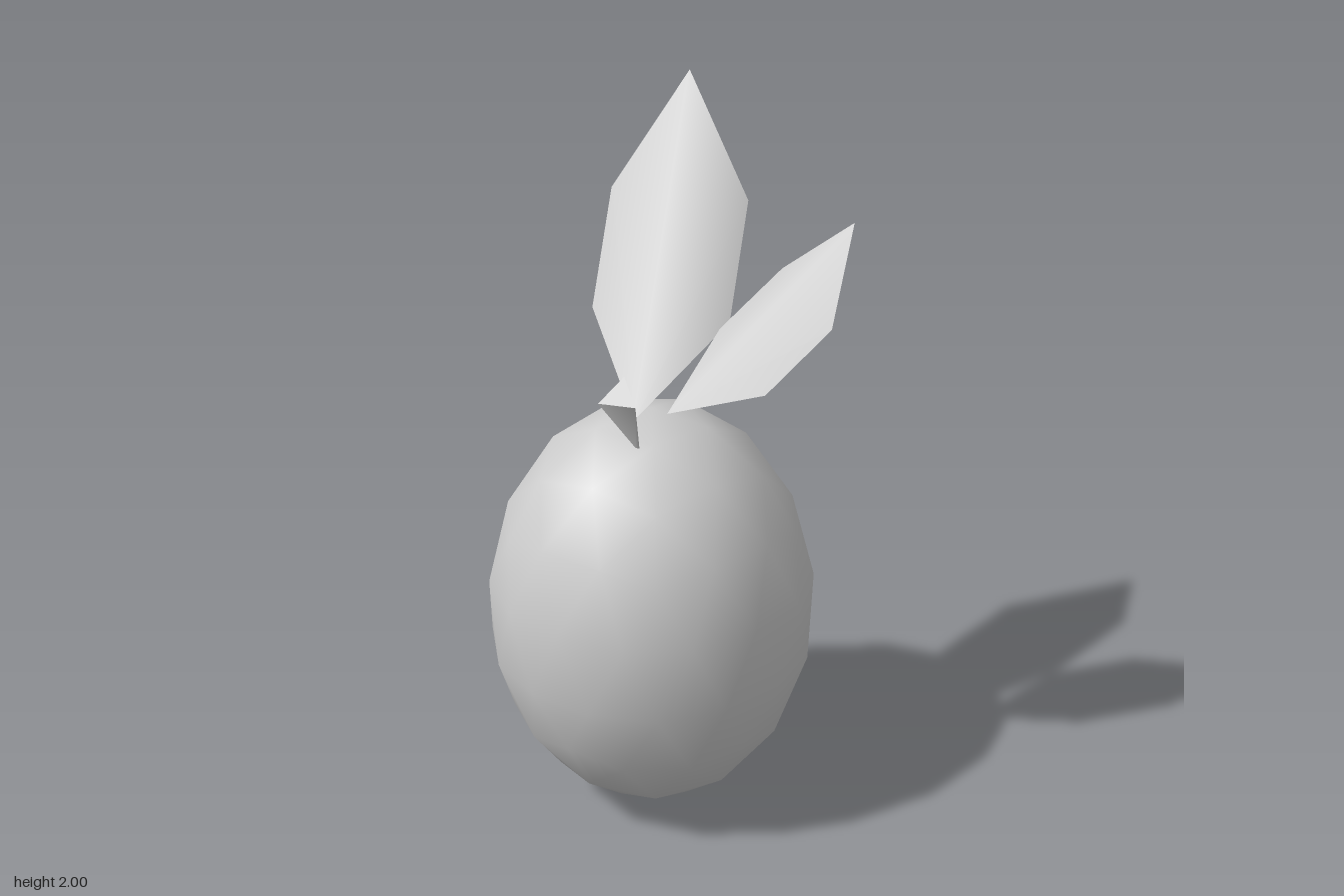
import * as THREE from 'three';

const material = new THREE.MeshStandardMaterial({ color: 0xcccccc });
const leafMaterial = new THREE.MeshStandardMaterial({ color: 0xcccccc, side: THREE.DoubleSide });

// Leaf folded along its midrib; outline runs base, one side, tip, other side
function makeLeaf(name, outline) {
  const geometry = new THREE.BufferGeometry();
  geometry.setAttribute('position', new THREE.Float32BufferAttribute(outline.flat(), 3));
  geometry.setIndex([0, 1, 2, 0, 2, 3, 0, 3, 4, 0, 4, 5]);
  geometry.computeVertexNormals();
  const leaf = new THREE.Mesh(geometry, leafMaterial);
  leaf.name = name;
  return leaf;
}

export function createModel() {
  const model = new THREE.Group();
  model.name = 'fruit';

  // Fruit body: low-poly smooth sphere, turned so a vertex points up, then stretched
  const bodyGeometry = new THREE.IcosahedronGeometry(1, 2);
  bodyGeometry.rotateZ(-Math.atan(2 / (1 + Math.sqrt(5))));
  const body = new THREE.Mesh(bodyGeometry, material);
  body.name = 'body';
  body.scale.set(0.453, 0.594, 0.453);
  body.position.set(-0.035, 0.595, 0);
  model.add(body);

  // Stem: three-sided, flaring outwards and leaning forward
  const length = 0.277;
  const stemGeometry = new THREE.CylinderGeometry(0.056, 0.006, length, 3, 1, false, Math.PI);
  stemGeometry.translate(0, length / 2, 0);
  const stem = new THREE.Mesh(stemGeometry, material);
  stem.name = 'stem';
  stem.position.set(-0.027, 1.147, 0.153);
  stem.rotation.x = Math.atan2(0.163, 0.222);
  model.add(stem);

  // Leaves
  model.add(makeLeaf('backLeaf', [
    [-0.033, 1.23, 0.165],
    [0.155, 1.42, -0.09], [0.155, 1.69, -0.278],
    [-0.033, 2.0, -0.378],
    [-0.221, 1.69, -0.278], [-0.221, 1.42, -0.09],
  ]));
  model.add(makeLeaf('sideLeaf', [
    [0.05, 1.25, 0.145],
    [0.305, 1.33, 0.135], [0.457, 1.5, 0.065],
    [0.482, 1.745, -0.055],
    [0.283, 1.57, -0.131], [0.135, 1.41, -0.065],
  ]));

  return model;
}
